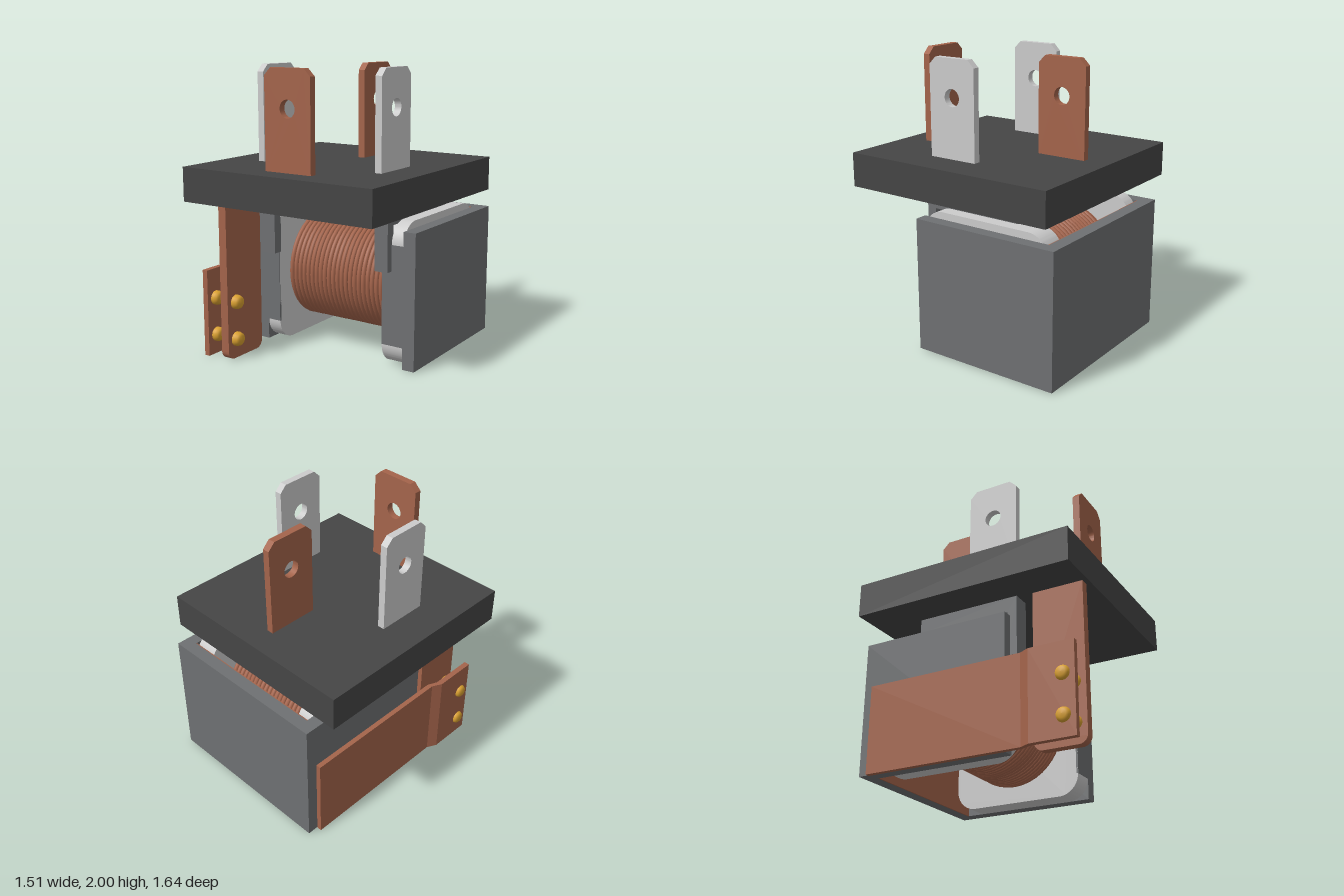
import * as THREE from 'three';
import { toCreasedNormals } from 'three/addons/utils/BufferGeometryUtils.js';

const mat = (color) => new THREE.MeshStandardMaterial({ color });

export function createModel() {
  const model = new THREE.Group();
  const light = mat(0xcccccc);
  const steel = mat(0x6e7072);
  const black = mat(0x454545);
  const copper = mat(0xa4644b);
  const gold = mat(0xd9a030);

  const add = (name, geometry, material) => {
    const mesh = new THREE.Mesh(geometry, material);
    mesh.name = name;
    model.add(mesh);
    return mesh;
  };

  // Box given by its limits on each axis
  const box = (name, x0, x1, y0, y1, z0, z1, material) => {
    const g = new THREE.BoxGeometry(x1 - x0, y1 - y0, z1 - z0);
    g.translate((x0 + x1) / 2, (y0 + y1) / 2, (z0 + z1) / 2);
    return add(name, g, material);
  };

  // Outline in the (z, y) plane, extruded from x0 to x1
  const sidePlate = (name, shape, x0, x1, material) => {
    const g = new THREE.ExtrudeGeometry(shape, { depth: x1 - x0, bevelEnabled: false, curveSegments: 12 });
    g.rotateY(-Math.PI / 2).translate(x1, 0, 0);
    return add(name, toCreasedNormals(g, 0.6), material);
  };

  // Rectangle with separate radii for the lower and upper corners
  const roundedRect = (u0, u1, v0, v1, low, high) => {
    const s = new THREE.Shape();
    s.moveTo(u0 + low, v0);
    s.lineTo(u1 - low, v0);
    if (low) s.absarc(u1 - low, v0 + low, low, -Math.PI / 2, 0, false);
    s.lineTo(u1, v1 - high);
    if (high) s.absarc(u1 - high, v1 - high, high, 0, Math.PI / 2, false);
    s.lineTo(u0 + high, v1);
    if (high) s.absarc(u0 + high, v1 - high, high, Math.PI / 2, Math.PI, false);
    s.lineTo(u0, v0 + low);
    if (low) s.absarc(u0 + low, v0 + low, low, Math.PI, Math.PI * 1.5, false);
    return s;
  };

  // Base plate
  box('basePlate', -0.76, 0.755, 1.085, 1.325, -0.77, 0.82, black);

  // Terminal blades with chamfered tips and a round hole
  const blade = (name, x, z, sideways, material) => {
    const w = 0.183, c = 0.05;
    const s = new THREE.Shape();
    [[-w, 1.3], [w, 1.3], [w, 2 - c], [w - c, 2], [c - w, 2], [-w, 2 - c]]
      .forEach(([u, v], i) => (i ? s.lineTo(u, v) : s.moveTo(u, v)));
    s.holes.push(new THREE.Path().absarc(0, 1.74, 0.06, 0, Math.PI * 2, true));
    const g = new THREE.ExtrudeGeometry(s, { depth: 0.05, bevelEnabled: false, curveSegments: 20 });
    g.translate(0, 0, -0.025);
    if (sideways) g.rotateY(-Math.PI / 2);
    g.translate(x, 0, z);
    add(name, toCreasedNormals(g, 0.6), material);
  };
  blade('frontBlade', 0.003, 0.625, false, copper);
  blade('backBlade', 0.003, -0.405, true, copper);
  blade('rightBlade', -0.479, 0.137, true, light);
  blade('leftBlade', 0.483, 0.137, true, light);

  // U-shaped iron yoke, open at top, bottom and front
  const yoke = new THREE.Shape();
  [[-0.57, -0.27], [-0.48, -0.27], [-0.48, 0.73], [0.65, 0.73], [0.65, -0.27], [0.74, -0.27], [0.74, 0.82], [-0.57, 0.82]]
    .forEach(([x, y], i) => (i ? yoke.lineTo(x, y) : yoke.moveTo(x, y)));
  const yokeGeometry = new THREE.ExtrudeGeometry(yoke, { depth: 0.945, bevelEnabled: false });
  yokeGeometry.rotateX(-Math.PI / 2).translate(0, 0.005, 0);
  add('yoke', yokeGeometry, steel);
  box('yokeLining', -0.48, 0.65, 0.005, 0.948, -0.731, -0.722, copper);

  // Bobbin flanges with rounded corners, each with a steel strip on its front edge
  [[-0.481, -0.375], [0.488, 0.651]].forEach(([x0, x1]) => {
    sidePlate('bobbinFlange', roundedRect(-0.72, 0.267, 0.005, 1.0, 0.15, 0.15), x0, x1, light);
    box('flangeStrip', x0, x1, 0.155, 0.85, 0.255, 0.27, steel);
  });

  // Coil: a core and one continuous winding
  const coilY = 0.503, coilZ = -0.225, x0 = -0.358, x1 = 0.47, turns = 23;
  const core = new THREE.CylinderGeometry(0.37, 0.37, 0.88, 48);
  core.rotateZ(Math.PI / 2).translate(0.055, coilY, coilZ);
  add('coilCore', core, copper);
  class Helix extends THREE.Curve {
    getPoint(t, target = new THREE.Vector3()) {
      const a = t * turns * Math.PI * 2;
      return target.set(x0 + (x1 - x0) * t, coilY + 0.374 * Math.cos(a), coilZ + 0.374 * Math.sin(a));
    }
  }
  add('coilWinding', new THREE.TubeGeometry(new Helix(), turns * 40, 0.018, 8, false), copper);

  // Coil brackets: a bar under the base with a tab hanging down in front
  [[-0.5, -0.374], [0.46, 0.56]].forEach(([a, b]) => {
    const s = new THREE.Shape();
    [[0.32, 1.09], [-0.43, 1.09], [-0.43, 0.98], [0.25, 0.98], [0.25, 0.67], [0.32, 0.67]]
      .forEach(([z, y], i) => (i ? s.lineTo(z, y) : s.moveTo(z, y)));
    sidePlate('coilBracket', s, a, b, steel);
  });

  // Fixed contact arm hanging from the base
  sidePlate('fixedContactArm', roundedRect(0.427, 0.785, 0.002, 1.09, 0.06, 0), -0.482, -0.42, copper);

  // Moving contact strip along the yoke, stepped outward at the front
  const strip = new THREE.Shape();
  [[-0.57, 0.74], [-0.605, 0.74], [-0.605, -0.4], [-0.64, -0.47], [-0.64, -0.785], [-0.6, -0.785], [-0.6, -0.46], [-0.57, -0.39]]
    .forEach(([x, y], i) => (i ? strip.lineTo(x, y) : strip.moveTo(x, y)));
  const stripGeometry = new THREE.ExtrudeGeometry(strip, { depth: 0.615, bevelEnabled: false });
  stripGeometry.rotateX(-Math.PI / 2);
  add('movingContactStrip', stripGeometry, copper);

  // Contact rivets with domed ends
  const profile = [[0, -0.063], [0.028, -0.061], [0.043, -0.05], [0.05, -0.03], [0.05, 0.03], [0.043, 0.05], [0.028, 0.061], [0, 0.063]]
    .map(([r, h]) => new THREE.Vector2(r, h));
  for (const [x, stretch] of [[-0.608, 0.95], [-0.44, 1.17]]) {
    for (const y of [0.405, 0.14]) {
      const rivet = add('contactRivet', new THREE.LatheGeometry(profile, 24), gold);
      rivet.rotation.z = Math.PI / 2;
      rivet.scale.y = stretch;
      rivet.position.set(x, y, 0.703);
    }
  }

  return model;
}
